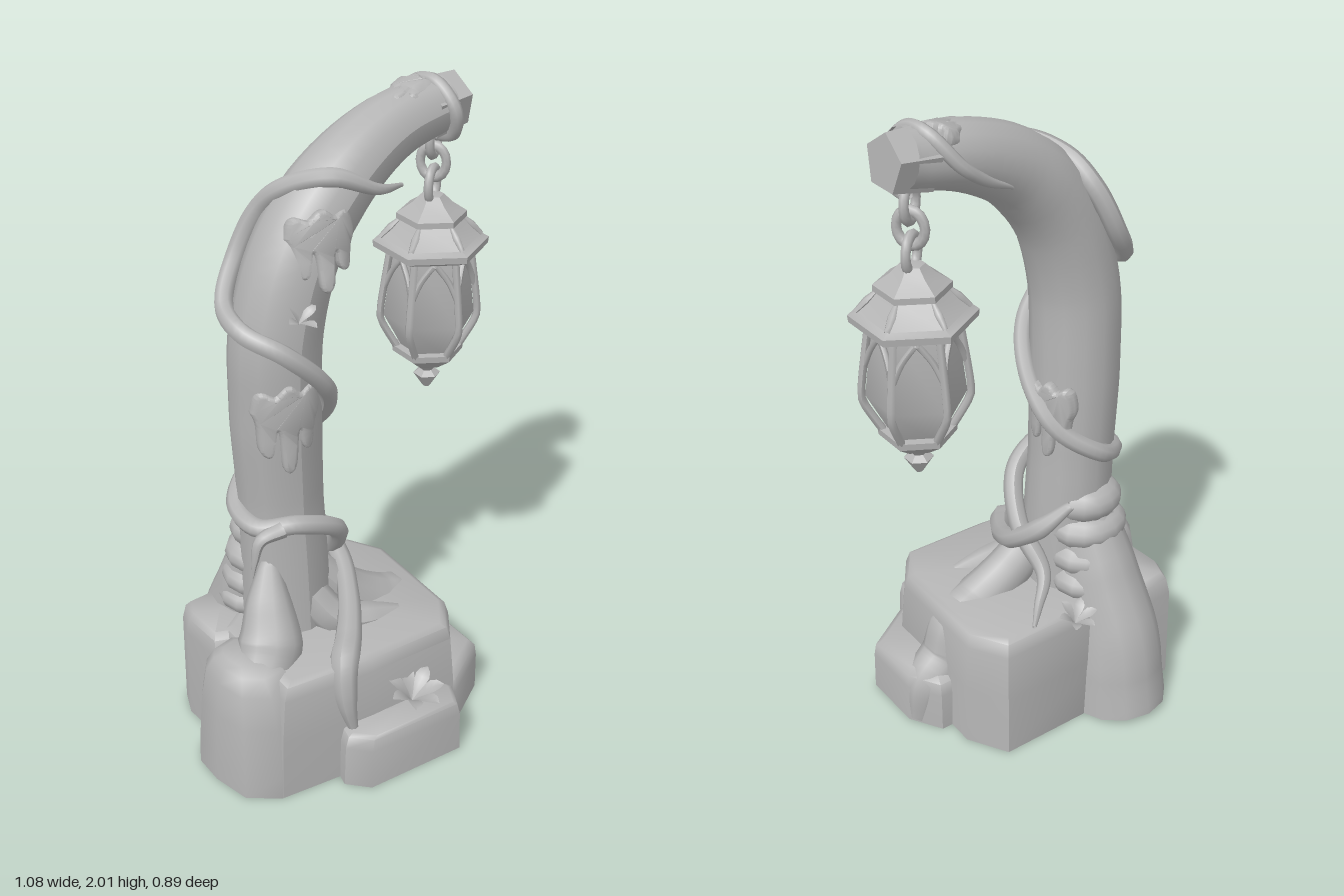
import * as THREE from 'three';
import { toCreasedNormals } from 'three/addons/utils/BufferGeometryUtils.js';

const stone = new THREE.MeshStandardMaterial({ color: 0xb4b4b4, side: THREE.DoubleSide });
stone.name = 'plain grey';
const V = (a) => new THREE.Vector3(...a);

function add(parent, name, geometry) {
  const mesh = new THREE.Mesh(geometry, stone);
  mesh.name = name;
  parent.add(mesh);
  return mesh;
}

// Tube through points whose radius follows a list of values; it never dips below the ground
function taper(points, radii, segments = 40, sides = 8) {
  const curve = new THREE.CatmullRomCurve3(points.map(V));
  const geo = new THREE.TubeGeometry(curve, segments, 1, sides);
  const pos = geo.attributes.position, p = new THREE.Vector3();
  for (let i = 0; i <= segments; i++) {
    const c = curve.getPointAt(i / segments);
    const t = (i / segments) * (radii.length - 1), k = Math.min(Math.floor(t), radii.length - 2);
    const r = THREE.MathUtils.lerp(radii[k], radii[k + 1], t - k);
    for (let j = 0; j <= sides; j++) {
      const n = i * (sides + 1) + j;
      p.fromBufferAttribute(pos, n).sub(c).multiplyScalar(r).add(c);
      pos.setXYZ(n, p.x, Math.max(p.y, 0), p.z);
    }
  }
  geo.computeVertexNormals();
  return geo;
}

// Rock shell, open below: an outline [x, z] stacked at levels [y, scale]
function rock(outline, levels) {
  const n = outline.length, verts = [], index = [];
  const cx = outline.reduce((s, p) => s + p[0], 0) / n, cz = outline.reduce((s, p) => s + p[1], 0) / n;
  for (const [y, s] of levels)
    for (const [x, z] of outline) verts.push(cx + (x - cx) * s, y, cz + (z - cz) * s);
  verts.push(cx, levels[levels.length - 1][0] + 0.005, cz);
  for (let l = 0; l < levels.length; l++)
    for (let i = 0; i < n; i++) {
      const a = l * n + i, b = l * n + (i + 1) % n;
      if (l < levels.length - 1) index.push(a, b, b + n, a, b + n, a + n);
      else index.push(a, b, levels.length * n);
    }
  const geo = new THREE.BufferGeometry();
  geo.setAttribute('position', new THREE.Float32BufferAttribute(verts, 3));
  geo.setIndex(index);
  return toCreasedNormals(geo, 0.95);
}

const lathe = (profile, sides) => toCreasedNormals(
  new THREE.LatheGeometry(profile.map(([r, y]) => new THREE.Vector2(r, y)), sides), 0.6);

function blob(parent, name, at, size) {
  const m = add(parent, name, new THREE.SphereGeometry(1, 14, 10));
  m.position.set(...at);
  m.scale.set(...size);
}

// Dripping moss sheet facing a direction, wrapped round the trunk's curve
function moss(parent, at, facing, width, height, bend = 0.13) {
  const outline = [[-0.5, 0.2], [-0.42, 0.42], [-0.2, 0.38], [0, 0.5], [0.2, 0.4], [0.42, 0.45], [0.5, 0.2], [0.42, 0.02], [0.36, -0.25],
    [0.27, -0.22], [0.22, 0], [0.12, -0.05], [0.07, -0.45], [-0.04, -0.5], [-0.1, -0.05], [-0.22, 0.02], [-0.3, -0.3], [-0.4, -0.25], [-0.43, 0.05]]
    .map(([x, y]) => new THREE.Vector2(x * width, y * height));
  const shape = new THREE.Shape();
  shape.moveTo(outline[0].x, outline[0].y);
  shape.splineThru([...outline.slice(1), outline[0]]);
  const geo = new THREE.ExtrudeGeometry(shape, { depth: 0.015, steps: 1, curveSegments: 60,
    bevelEnabled: true, bevelThickness: 0.012, bevelSize: 0.01, bevelSegments: 2 });
  const pos = geo.attributes.position;
  for (let i = 0; i < pos.count; i++) pos.setZ(i, pos.getZ(i) - pos.getX(i) ** 2 / (2 * bend));
  const mesh = add(parent, 'moss', toCreasedNormals(geo, 1));
  mesh.position.set(...at);
  mesh.lookAt(V(at).add(V(facing)));
}

// Rosette of pointed leaves that rise and arch over
function plant(parent, at, count, length, tilt) {
  const g = new THREE.Group();
  g.name = 'plant';
  g.position.set(...at);
  g.rotation.x = tilt;
  for (let i = 0; i < count; i++) {
    const geo = new THREE.PlaneGeometry(1, 1, 2, 5), pos = geo.attributes.position;
    for (let k = 0; k < pos.count; k++) {
      const u = pos.getY(k) + 0.5, side = pos.getX(k);
      const w = length * 0.42 * Math.sin(Math.PI * Math.pow(u, 1.3)) + 0.003;
      pos.setXYZ(k, side * w, length * (1.4 * u - 0.7 * u * u) + Math.abs(side) * w * 0.3, length * u * 0.9);
    }
    geo.computeVertexNormals();
    add(g, 'leaf', geo).rotation.y = (i / count) * Math.PI * 2 + 0.3;
  }
  parent.add(g);
}

function buildLantern() {
  const g = new THREE.Group();
  g.name = 'lantern';
  g.position.set(0.387, 0, -0.107);
  add(g, 'lanternGlass', lathe([[0.08, 1.14], [0.138, 1.25], [0.112, 1.47]], 6));
  add(g, 'lanternFoot', lathe([[0, 0.997], [0.012, 1.0], [0.042, 1.045], [0.022, 1.06], [0.035, 1.075],
    [0.055, 1.085], [0.108, 1.125], [0.11, 1.145], [0, 1.15]], 6));
  add(g, 'lanternRoof', lathe([[0, 1.45], [0.13, 1.455], [0.172, 1.475], [0.174, 1.495], [0.15, 1.505],
    [0.09, 1.565], [0, 1.57]], 6));
  add(g, 'lanternCap', lathe([[0.06, 1.55], [0.105, 1.562], [0.105, 1.58], [0.06, 1.61], [0.035, 1.635], [0, 1.64]], 6));
  for (let i = 0; i < 6; i++) {
    const side = new THREE.Group();
    side.name = 'lanternSide';
    side.rotation.y = i * Math.PI / 3;
    g.add(side);
    // Corner bar, roof rib, and two halves of a pointed arch
    add(side, 'cornerBar', taper([[0, 1.13, 0.09], [0, 1.235, 0.146], [0, 1.26, 0.148], [0, 1.47, 0.12]], [0.012, 0.012], 14, 6));
    add(side, 'roofRib', taper([[0, 1.505, 0.15], [0, 1.54, 0.115], [0, 1.565, 0.09]], [0.008, 0.012, 0.005], 6, 6));
    for (const s of [-1, 1])
      add(side, 'archBar', taper([[0, 1.34, 0.137], [s * 0.02, 1.4, 0.118], [s * 0.05, 1.45, 0.096]], [0.009, 0.009], 6, 6));
  }
  // Chain of crossing links up to the branch
  [1.665, 1.735, 1.805].forEach((y, i) => {
    const link = add(g, 'chainLink', new THREE.TorusGeometry(0.04, 0.014, 8, 16));
    link.position.y = y;
    link.scale.y = 1.2;
    link.rotation.y = 0.6 + i * Math.PI / 2;
  });
  return g;
}

export function createModel() {
  const model = new THREE.Group();
  model.name = 'lanternPost';

  // Base rocks
  add(model, 'mainRock', rock([[-0.41, 0.28], [-0.1, 0.31], [0.2, 0.315], [0.28, 0.2], [0.29, -0.18], [0.22, -0.3], [-0.15, -0.3], [-0.41, -0.1]],
    [[0, 1.02], [0.2, 1], [0.35, 0.96], [0.39, 0.92], [0.4, 0.86]]));
  add(model, 'frontRock', rock([[-0.23, 0.34], [-0.17, 0.4], [0.16, 0.41], [0.2, 0.33], [0.18, 0.25], [-0.21, 0.25]],
    [[0, 1], [0.14, 0.98], [0.18, 0.93], [0.19, 0.85]]));
  add(model, 'stepRock', rock([[0.13, 0.31], [0.22, 0.31], [0.39, 0.2], [0.39, 0], [0.33, -0.1], [0.15, -0.1]],
    [[0, 1], [0.13, 0.99], [0.17, 0.95], [0.19, 0.8]]));
  add(model, 'backRock', rock([[-0.44, -0.06], [-0.28, 0], [-0.2, -0.2], [-0.28, -0.31], [-0.42, -0.3], [-0.45, -0.22]],
    [[0, 1], [0.32, 0.97], [0.37, 0.88], [0.39, 0.75]]));
  add(model, 'sideRock', rock([[-0.54, 0.1], [-0.51, 0.22], [-0.42, 0.285], [-0.3, 0.27], [-0.25, 0], [-0.38, -0.09], [-0.5, -0.06], [-0.54, 0]],
    [[0, 1], [0.08, 0.99], [0.25, 0.9], [0.36, 0.78], [0.41, 0.6], [0.43, 0.4]]));

  // Curved trunk with a five-sided hewn end
  const spine = [[-0.175, 0.36, -0.06], [-0.18, 0.6, -0.06], [-0.19, 0.85, -0.06], [-0.205, 1.15, -0.05], [-0.2, 1.4, -0.04],
    [-0.13, 1.62, -0.04], [0.0, 1.775, -0.05], [0.2, 1.88, -0.08], [0.4, 1.918, -0.09]];
  add(model, 'trunk', taper(spine, [0.14, 0.135, 0.13, 0.135, 0.135, 0.13, 0.12, 0.1, 0.082], 48, 14));
  const hewnEnd = add(model, 'hewnEnd', toCreasedNormals(new THREE.CylinderGeometry(0.08, 0.092, 0.12, 5), 0.3));
  hewnEnd.position.set(0.39, 1.913, -0.09);
  hewnEnd.quaternion.setFromUnitVectors(new THREE.Vector3(0, 1, 0), V([1, 0.1, -0.03]).normalize());
  hewnEnd.rotateY(-Math.PI / 2);

  // Roots spreading over the rocks
  add(model, 'rightRoot', taper([[-0.1, 0.56, -0.03], [0, 0.44, -0.01], [0.12, 0.355, 0], [0.2, 0.31, 0], [0.24, 0.2, 0], [0.31, 0.13, 0], [0.345, 0, 0]],
    [0.05, 0.07, 0.075, 0.085, 0.085, 0.075, 0.045], 40, 10));
  add(model, 'backRoot', taper([[-0.2, 0.62, -0.12], [-0.21, 0.42, -0.2], [-0.22, 0.25, -0.265], [-0.22, 0.1, -0.285], [-0.22, 0, -0.3]],
    [0.1, 0.12, 0.13, 0.145, 0.15], 24, 12));
  add(model, 'leftRoot', taper([[-0.27, 0.66, 0.0], [-0.3, 0.54, 0.04], [-0.33, 0.42, 0.09], [-0.4, 0.33, 0.14]], [0.025, 0.07, 0.1, 0.08], 20, 10));
  add(model, 'frontRoot', taper([[-0.15, 0.5, 0.02], [-0.08, 0.41, 0.08], [0.08, 0.385, 0.12], [0.13, 0.38, 0.13]], [0.06, 0.06, 0.05, 0.02], 16, 8));
  for (const [y, z, r] of [[0.69, -0.13, 0.1], [0.6, -0.135, 0.115], [0.51, -0.15, 0.12], [0.43, -0.17, 0.125]])
    blob(model, 'barkFold', [-0.2, y, z], [r + 0.015, 0.07, r]);

  // Long vine winding down the trunk
  add(model, 'longVine', taper([[0.18, 1.75, 0.02], [0.06, 1.78, 0.07], [-0.06, 1.83, 0.04], [-0.15, 1.79, -0.06], [-0.19, 1.71, -0.14],
    [-0.25, 1.58, -0.165], [-0.325, 1.47, -0.11], [-0.335, 1.43, 0], [-0.26, 1.38, 0.09], [-0.13, 1.25, 0.09], [-0.065, 1.12, 0],
    [-0.075, 0.98, -0.13], [-0.2, 0.88, -0.195], [-0.32, 0.82, -0.1], [-0.32, 0.8, 0.02], [-0.22, 0.81, 0.085], [-0.08, 0.74, 0.07],
    [-0.015, 0.61, -0.03], [-0.015, 0.49, -0.16], [0.05, 0.43, -0.22], [0.11, 0.42, -0.28]],
    [0.006, 0.027, 0.03, 0.028, 0.028, 0.028, 0.03, 0.028, 0.028, 0.03, 0.03, 0.006], 150));
  add(model, 'vineTip', taper([[-0.27, 0.81, 0.08], [-0.34, 0.79, 0.07], [-0.36, 0.73, 0.07], [-0.37, 0.67, 0.07]], [0.026, 0.02, 0.012, 0.002], 16));
  add(model, 'lowVine', taper([[-0.1, 0.72, -0.18], [-0.02, 0.64, -0.13], [0.0, 0.55, -0.02], [-0.05, 0.48, 0.1], [-0.12, 0.43, 0.2],
    [-0.18, 0.39, 0.265], [-0.195, 0.28, 0.3], [-0.18, 0.18, 0.315]], [0.015, 0.032, 0.032, 0.033, 0.038, 0.046, 0.036, 0.015], 60));
  add(model, 'branchVine', taper([[0.1, 1.79, -0.155], [0.2, 1.84, -0.18], [0.28, 1.9, -0.185], [0.34, 1.98, -0.13], [0.355, 1.985, -0.06],
    [0.375, 1.92, 0.0], [0.395, 1.84, -0.03], [0.39, 1.82, -0.1]], [0.006, 0.016, 0.02, 0.02, 0.02, 0.02], 50));

  // Moss sheets on the trunk and branch
  moss(model, [-0.12, 1.65, 0.075], [-0.2, 0.2, 1], 0.18, 0.2);
  moss(model, [-0.24, 1.14, 0.07], [-0.25, 0, 1], 0.18, 0.25);
  moss(model, [-0.08, 1.0, -0.1], [1, 0, -0.3], 0.14, 0.22);
  moss(model, [0.27, 1.965, -0.085], [-0.2, 1, 0.1], 0.11, 0.12, 0.09);

  // Small plants
  plant(model, [0.02, 0.21, 0.34], 7, 0.1, 0.25);
  plant(model, [-0.03, 0.38, -0.3], 6, 0.07, -0.3);
  plant(model, [-0.21, 1.46, 0.09], 4, 0.06, 0.5);

  model.add(buildLantern());
  return model;
}
